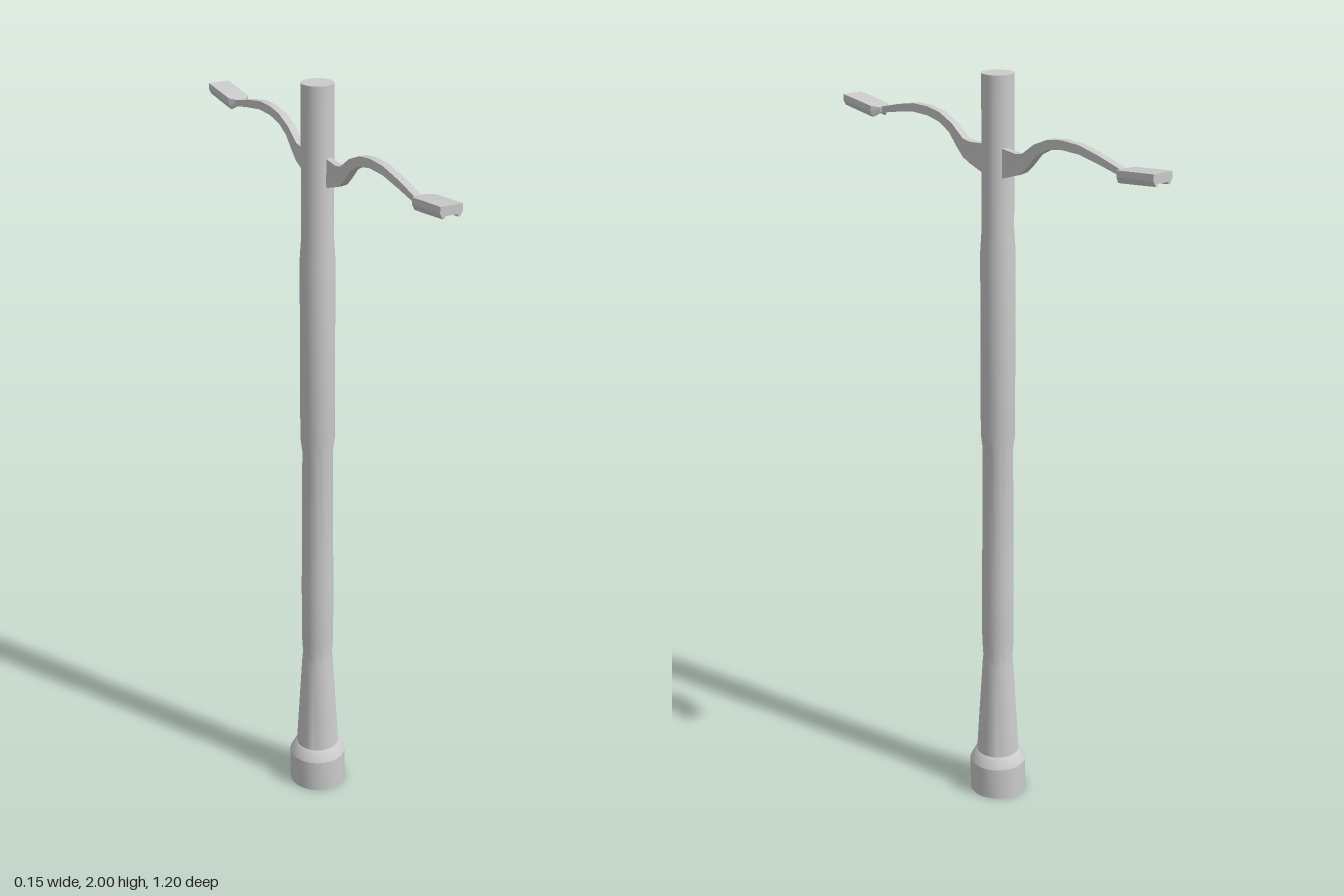
import * as THREE from 'three';
import { toCreasedNormals } from 'three/addons/utils/BufferGeometryUtils.js';

const material = new THREE.MeshStandardMaterial({ color: 0xcccccc });
const v2 = (p) => p.map(([x, y]) => new THREE.Vector2(x, y));

function part(name, geometry, crease = 0.45) {
  const mesh = new THREE.Mesh(toCreasedNormals(geometry, crease), material);
  mesh.name = name;
  return mesh;
}

// Move every vertex by a rule (the rule edits the vector in place)
function reshape(geometry, rule) {
  const pos = geometry.attributes.position;
  const v = new THREE.Vector3();
  for (let i = 0; i < pos.count; i++) {
    rule(v.fromBufferAttribute(pos, i));
    pos.setXYZ(i, v.x, v.y, v.z);
  }
  geometry.computeVertexNormals();
  return geometry;
}

// Lathed column: [radius, height]
function makePole() {
  return new THREE.LatheGeometry(v2([
    [0, 0], [0.077, 0], [0.077, 0.09], [0.064, 0.115], [0.058, 0.12],
    [0.042, 0.39], [0.040, 0.41], [0.043, 0.46], [0.043, 0.62], [0.040, 1.02],
    [0.045, 1.06], [0.045, 1.55], [0.041, 1.61], [0.041, 2], [0, 2],
  ]), 24);
}

// Curved bracket, outlined in the z-y plane; side is 1 (front) or -1 (back)
function makeArm(side) {
  const top = v2([[0.03, 1.822], [0.09, 1.818], [0.115, 1.822], [0.16, 1.853], [0.21, 1.873],
    [0.26, 1.88], [0.32, 1.879], [0.39, 1.866], [0.475, 1.845]]);
  const bottom = v2([[0.475, 1.83], [0.39, 1.846], [0.32, 1.857], [0.26, 1.857], [0.21, 1.848],
    [0.17, 1.828], [0.14, 1.797], [0.115, 1.775], [0.09, 1.764], [0.03, 1.745]]);
  const geometry = new THREE.ExtrudeGeometry(new THREE.Shape([...top, ...bottom]),
    { depth: 0.02, bevelEnabled: false });
  geometry.translate(0, 0, -0.01).rotateY(-side * Math.PI / 2);
  // slimmer where it meets the pole
  reshape(geometry, (v) => {
    v.x = 0.01 + v.x * THREE.MathUtils.mapLinear(Math.min(Math.abs(v.z), 0.1), 0.03, 0.1, 0.7, 1);
  });
  return geometry;
}

// Lamp head: one cross-section with a recessed underside, swept through sections
function makeHead(side) {
  const outline = v2([[-1, 1], [-1, 0.45], [-0.78, 0], [-0.6, 0], [-0.55, 0.2],
    [0.55, 0.2], [0.6, 0], [0.78, 0], [1, 0.45], [1, 1]]);
  // [z, half width, bottom y, height]
  const sections = [
    [0.46, 0.009, 1.833, 0.014], [0.478, 0.028, 1.821, 0.03],
    [0.54, 0.029, 1.828, 0.03], [0.60, 0.029, 1.835, 0.029],
  ];
  const geometry = new THREE.ExtrudeGeometry(new THREE.Shape(outline),
    { depth: 3, steps: 3, bevelEnabled: false });
  reshape(geometry, (v) => {
    const [z, w, y, h] = sections[Math.round(v.z)];
    v.set(v.x * w, y + v.y * h, z);
  });
  if (side < 0) geometry.rotateY(Math.PI);
  return geometry.translate(0.015, 0, 0);
}

export function createModel() {
  const model = new THREE.Group();
  model.name = 'streetLamp';
  model.add(part('pole', makePole()));
  for (const [side, label] of [[1, 'front'], [-1, 'back']]) {
    const lamp = new THREE.Group();
    lamp.name = label + 'Lamp';
    lamp.add(part(label + 'Arm', makeArm(side)), part(label + 'LampHead', makeHead(side), 0.3));
    model.add(lamp);
  }
  return model;
}
